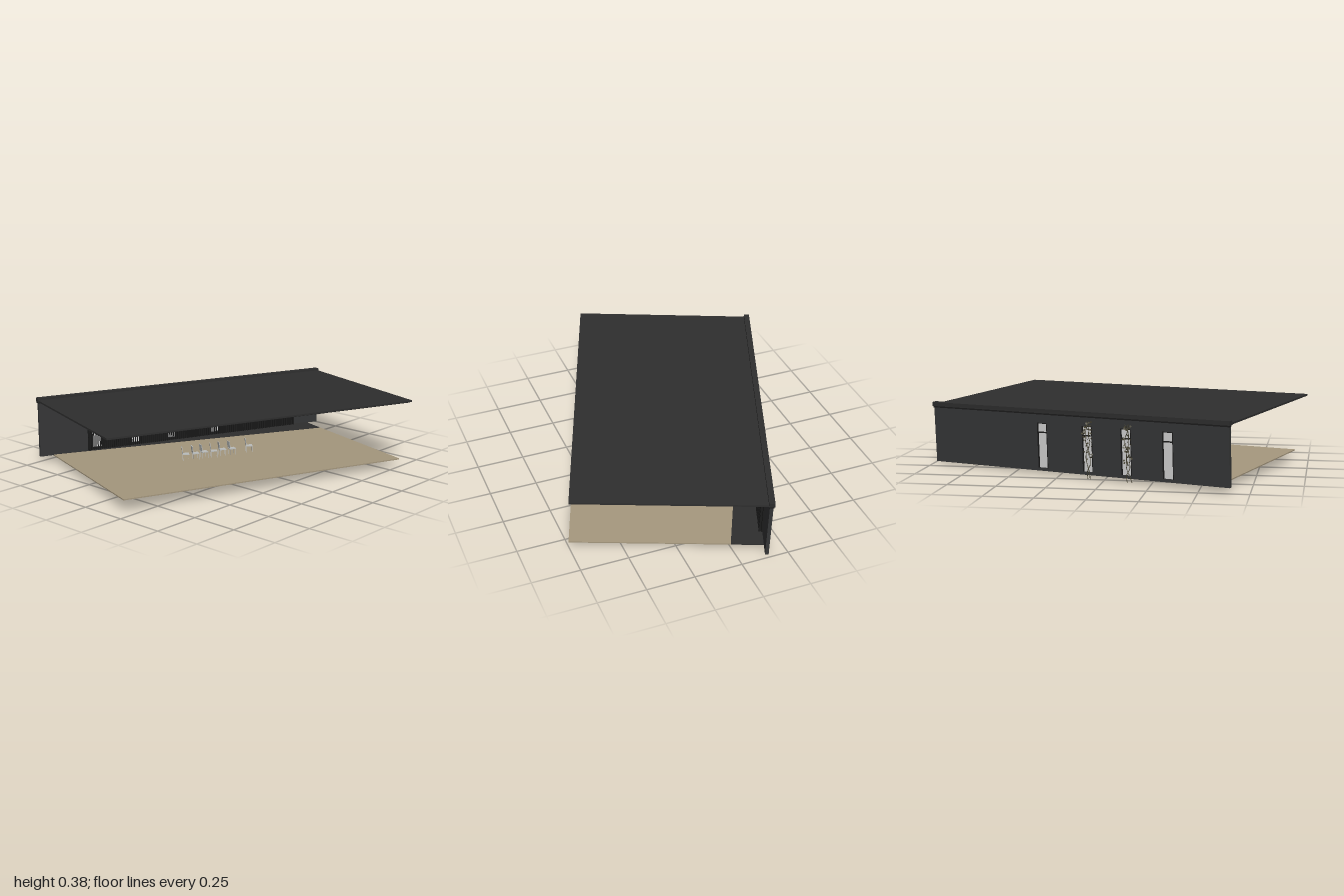
import * as THREE from 'three';

const mat = (name, color, double) => {
  const m = new THREE.MeshStandardMaterial({ color });
  m.name = name;
  if (double) m.side = THREE.DoubleSide;
  return m;
};

export function createModel() {
  const M = {
    roof: mat('charcoal roof', 0x2e2e2e),
    wall: mat('dark grey wall', 0x353637),
    black: mat('black trim', 0x1b1b1b),
    deck: mat('tan deck', 0xa6987e),
    glass: mat('pale glass', 0xd2d2d2, true),
    chair: mat('light grey chair', 0xbcbfbe),
    vine: mat('olive vine', 0x4a4634, true),
  };

  // The pavilion is turned in plan and tilts slightly, rising to the front
  const model = new THREE.Group();
  const house = new THREE.Group();
  house.name = 'pavilion';
  house.rotation.set(-0.036, -0.354, -0.0125, 'YXZ');
  house.position.y = 0.042;
  model.add(house);

  const add = (name, geo, material, parent = house) => {
    const mesh = new THREE.Mesh(geo, material);
    mesh.name = name;
    parent.add(mesh);
    return mesh;
  };
  const box = (name, w, h, d, x, y, z, material, parent) => {
    const mesh = add(name, new THREE.BoxGeometry(w, h, d), material, parent);
    mesh.position.set(x, y, z);
    return mesh;
  };
  // Flat slab from a plan outline of [x, z] corners
  const slab = (name, pts, y, t, material) => {
    const shape = new THREE.Shape(pts.map(([x, z]) => new THREE.Vector2(x, -z)));
    const geo = new THREE.ExtrudeGeometry(shape, { depth: t, bevelEnabled: false });
    geo.rotateX(-Math.PI / 2);
    add(name, geo, material).position.y = y;
  };

  // Roof, with a raised cap along the back edge
  box('roof', 1.76, 0.009, 0.98, 0, 0.3055, 0.012, M.roof);
  box('roofSoffit', 1.74, 0.004, 0.96, 0, 0.299, 0.012, M.black);
  box('parapetCap', 1.765, 0.022, 0.03, 0, 0.311, -0.475, M.roof);
  box('parapetBand', 1.76, 0.008, 0.022, 0, 0.296, -0.475, M.black);

  // Deck, and the dark wedge of floor along the wall
  slab('deck', [[-0.803, -0.46], [-0.803, 0.507], [0.803, 0.507], [0.803, -0.3]], -0.006, 0.006, M.deck);
  slab('backFloor', [[-0.803, -0.475], [-0.803, -0.46], [0.803, -0.3], [0.803, -0.475]], -0.006, 0.006, M.roof);

  // Back wall and its dark lining, cut by four tall windows
  const windows = [-0.545, -0.31, -0.085, 0.185];
  const winW = 0.06, winBottom = 0.012, winTop = 0.248;
  const rect = (target, x0, x1, y0, y1) => {
    target.moveTo(x0, y0);
    target.lineTo(x1, y0);
    target.lineTo(x1, y1);
    target.lineTo(x0, y1);
    target.closePath();
    return target;
  };
  const panel = (name, x0, x1, y0, y1, z, depth, material) => {
    const shape = rect(new THREE.Shape(), x0, x1, y0, y1);
    for (const x of windows) {
      shape.holes.push(rect(new THREE.Path(), x - winW / 2, x + winW / 2, winBottom, winTop));
    }
    add(name, new THREE.ExtrudeGeometry(shape, { depth, bevelEnabled: false }), material).position.z = z;
  };
  panel('backWall', -0.877, 0.877, -0.004, 0.3, -0.483, 0.018, M.wall);
  panel('wallLining', -0.6, 0.71, 0, 0.298, -0.465, 0.006, M.black);

  // Glazing, frames and transoms
  for (const x of windows) {
    const win = new THREE.Group();
    win.name = 'window';
    win.position.set(x, 0, -0.474);
    house.add(win);
    box('glass', winW, winTop - winBottom, 0.003, 0, (winTop + winBottom) / 2, 0, M.glass, win);
    box('transom', winW, 0.006, 0.014, 0, 0.198, 0, M.black, win);
    box('frameHead', winW, 0.004, 0.02, 0, winTop - 0.002, 0, M.black, win);
    for (const s of [-1, 1]) {
      box('frameSide', 0.004, winTop - winBottom, 0.02, s * (winW / 2 - 0.002), (winTop + winBottom) / 2, 0, M.black, win);
    }
  }

  // Vertical slats along the inside of the wall
  for (let i = 0; i <= 104; i++) {
    const x = -0.595 + i * 0.0125;
    const overGlass = windows.some((w) => Math.abs(w - x) < winW / 2);
    box('slat', overGlass ? 0.002 : 0.006, 0.296, 0.01, x, 0.148, -0.452, M.black);
  }

  // Ceiling track with small spot lamps
  box('ceilingTrack', 1.25, 0.005, 0.012, 0.2, 0.289, -0.33, M.black);
  box('ceilingTrack', 1.25, 0.005, 0.012, 0.2, 0.289, -0.42, M.black);
  for (let i = 0; i < 8; i++) {
    const lamp = add('spotLamp', new THREE.CylinderGeometry(0.005, 0.005, 0.018, 8), M.black);
    lamp.position.set(-0.38 + i * 0.165, 0.28, -0.33);
  }

  // Row of chairs on the deck
  const chairAt = (x, z, turn) => {
    const chair = new THREE.Group();
    chair.name = 'chair';
    chair.position.set(x, 0, z);
    chair.rotation.y = turn;
    house.add(chair);
    box('seat', 0.036, 0.004, 0.036, 0, 0.034, 0, M.chair, chair);
    const back = box('chairBack', 0.036, 0.036, 0.003, 0, 0.057, -0.019, M.chair, chair);
    back.rotation.x = -0.12;
    for (const sx of [-1, 1]) {
      for (const sz of [-1, 1]) {
        box('chairLeg', 0.002, 0.034, 0.002, sx * 0.016, 0.017, sz * 0.016, M.chair, chair);
      }
    }
  };
  [-0.22, -0.165, -0.11, -0.055, 0, 0.055, 0.165].forEach((x, i) => {
    chairAt(x, -0.01 + 0.008 * (i % 2), 1.2 + 0.15 * (i % 3));
  });

  // Climbing vines on the outside, beside the two middle windows
  let seed = 7;
  const rand = () => (seed = (seed * 16807) % 2147483647) / 2147483647;
  for (const x0 of [-0.325, -0.095]) {
    const vine = new THREE.Group();
    vine.name = 'vine';
    vine.position.set(x0, 0, -0.492);
    house.add(vine);
    for (const s of [-1, 1]) {
      const pts = [];
      for (let i = 0; i <= 8; i++) {
        pts.push(new THREE.Vector3(s * 0.012 * Math.cos(i * 1.1) + (rand() - 0.5) * 0.012, -0.023 + i * 0.037, (rand() - 0.5) * 0.008));
      }
      const curve = new THREE.CatmullRomCurve3(pts);
      add('vineStem', new THREE.TubeGeometry(curve, 32, 0.0018, 5), M.vine, vine);
      for (let i = 0; i < 22; i++) {
        const p = curve.getPoint(0.3 + 0.7 * rand());
        const leaf = add('leaf', new THREE.CircleGeometry(0.006, 5), M.vine, vine);
        leaf.position.set(p.x + (rand() - 0.5) * 0.034, p.y, p.z - rand() * 0.006);
        leaf.rotation.set(rand() * 2 - 1, rand() * 2 - 1, rand() * 6);
      }
    }
  }
  return model;
}
